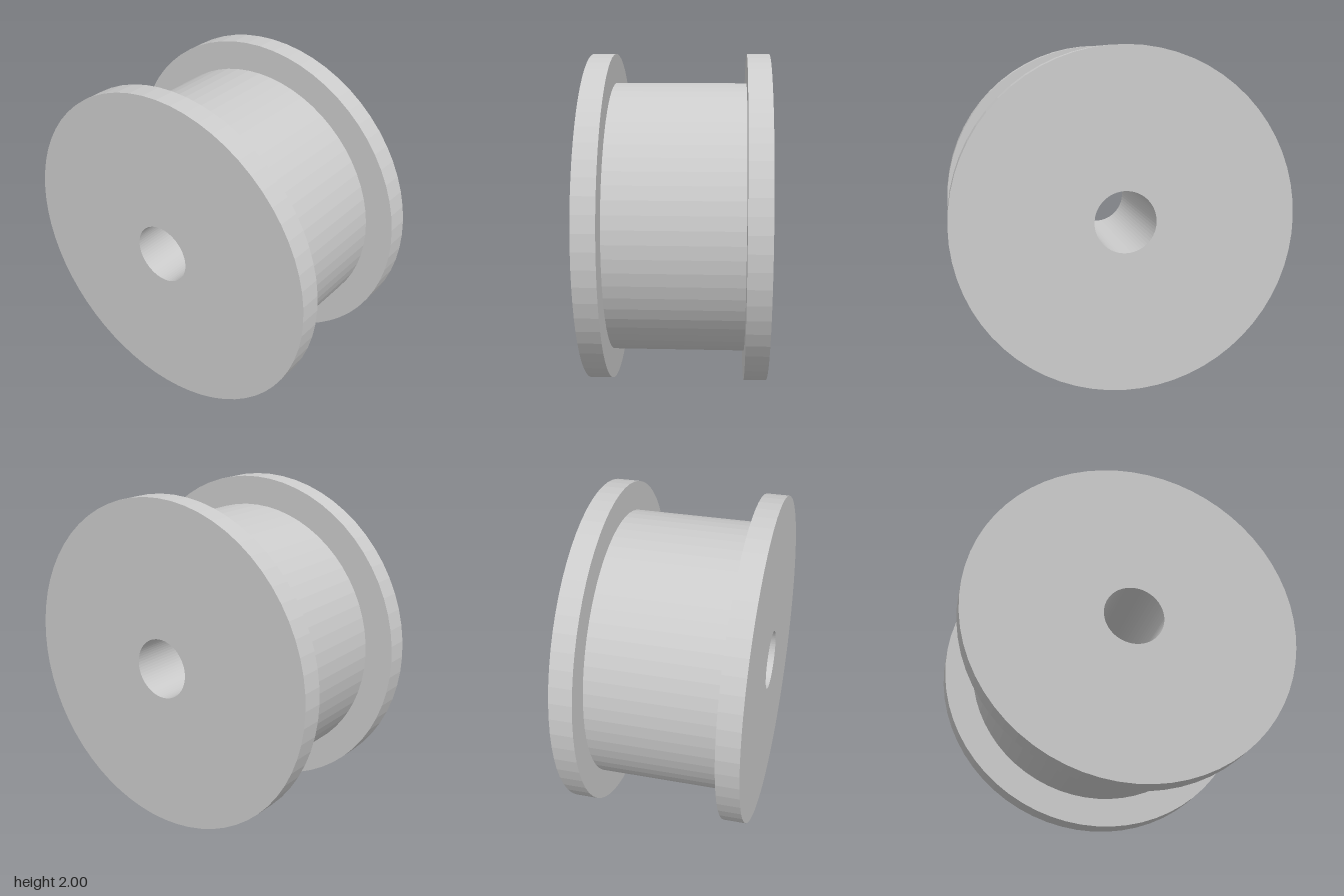
import * as THREE from 'three';

const RIM = 1, DRUM = 0.825, BORE = 0.18;
const INNER = 0.395, OUTER = 0.53; // flange faces along z

export function createModel() {
  const group = new THREE.Group();
  group.name = 'flangedSpool';
  const material = new THREE.MeshStandardMaterial({ color: 0xcccccc, flatShading: true });

  // Revolves a [radius, z] profile about the z axis with faceted normals
  function revolve(name, profile, segments) {
    const points = profile.map(([r, z]) => new THREE.Vector2(r, z));
    const geometry = new THREE.LatheGeometry(points, segments).rotateX(Math.PI / 2).toNonIndexed();
    geometry.computeVertexNormals();
    const mesh = new THREE.Mesh(geometry, material);
    mesh.name = name;
    mesh.position.y = RIM;
    group.add(mesh);
  }

  // Flanges: outer face, rim and the inner step down to the drum
  const flange = [[BORE, -OUTER], [RIM, -OUTER], [RIM, -INNER], [DRUM, -INNER]];
  revolve('backFlange', flange, 64);
  revolve('frontFlange', flange.map(([r, z]) => [r, -z]).reverse(), 64);

  // Drum between the flanges
  revolve('drum', [[DRUM, -INNER], [DRUM, INNER]], 64);

  // Axle hole, facing inward
  revolve('axleBore', [[BORE, OUTER], [BORE, -OUTER]], 64);

  return group;
}
